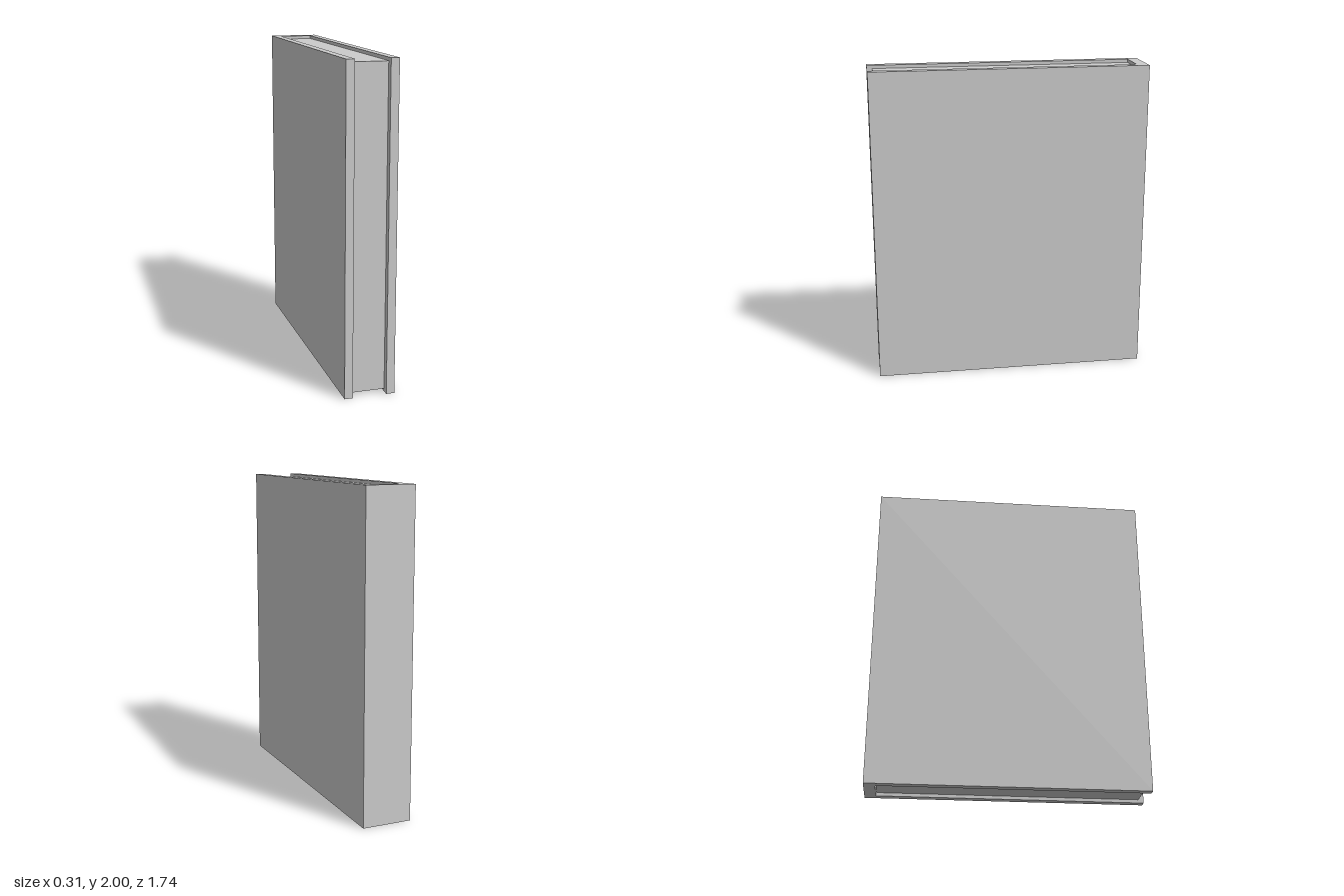
import * as THREE from 'three';

const W = 0.156, D = 0.87, H = 2;   // cover half width, half depth, height
const INNER = 0.105, SPINE = -0.8;  // inner face of the boards and of the spine

export function createModel() {
  const book = new THREE.Group();
  book.name = 'book';
  const material = new THREE.MeshStandardMaterial({ color: 0xcccccc, flatShading: true });

  // Cover: two boards and the spine as one U-shaped section, open at the front
  const section = new THREE.Shape([
    [-W, -D], [-INNER, -D], [-INNER, -SPINE], [INNER, -SPINE],
    [INNER, -D], [W, -D], [W, D], [-W, D],
  ].map(([x, y]) => new THREE.Vector2(x, y)));
  const coverGeometry = new THREE.ExtrudeGeometry(section, { depth: H, bevelEnabled: false });
  coverGeometry.rotateX(-Math.PI / 2);
  const cover = new THREE.Mesh(coverGeometry, material);
  cover.name = 'cover';
  book.add(cover);

  // Page block: set back a little from the cover's top, bottom and front edges
  const front = 0.835, back = SPINE + 0.003, inset = 0.02;
  const pages = new THREE.Mesh(
    new THREE.BoxGeometry(2 * (INNER - 0.002), H - 2 * inset, front - back), material);
  pages.position.set(0, H / 2, (front + back) / 2);
  pages.name = 'pageBlock';
  book.add(pages);

  return book;
}
